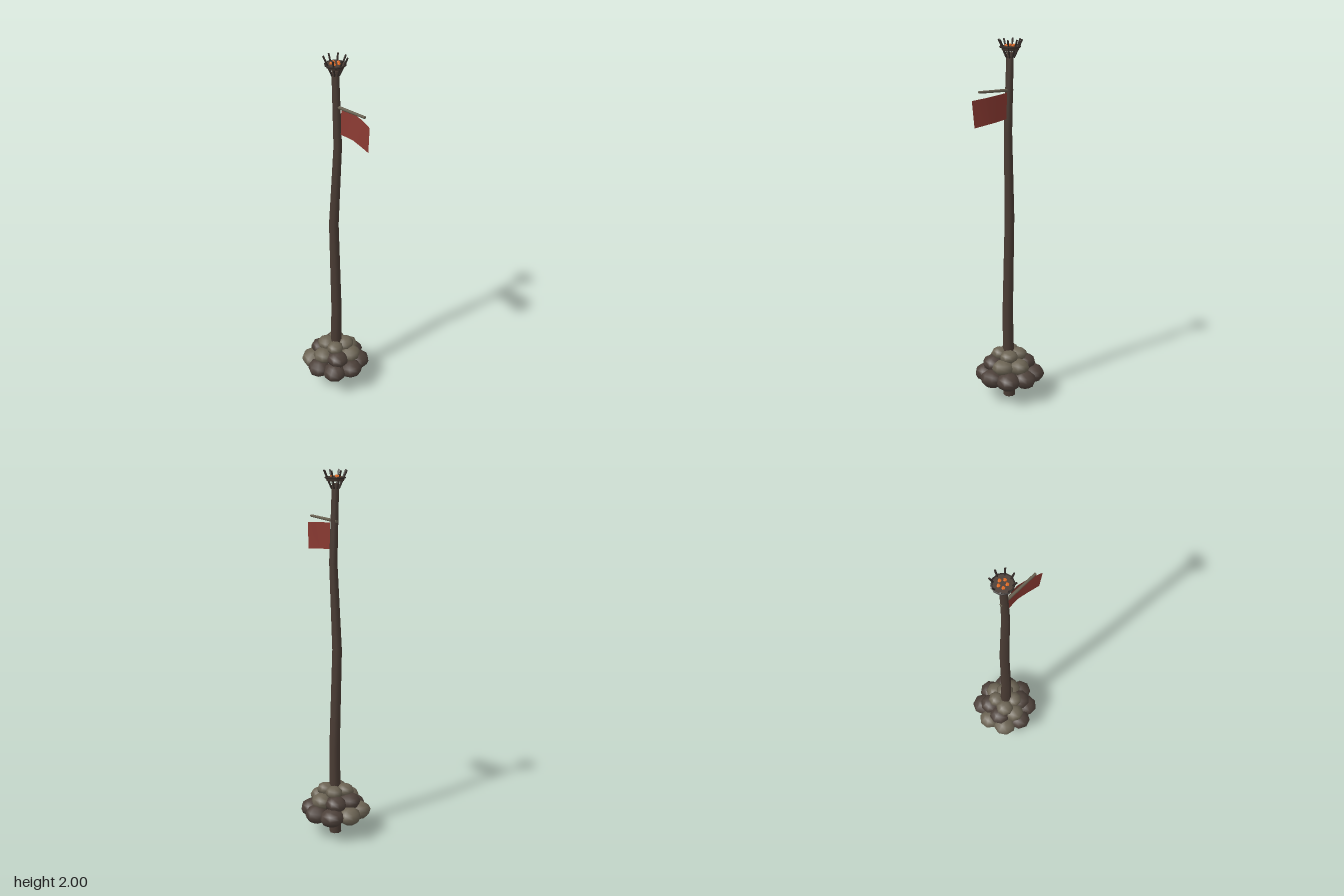
import * as THREE from 'three';

const CX = -0.032; // the pole's foot and brazier share this axis
const v = (x, y, z) => new THREE.Vector3(x, y, z);

export function createModel() {
  const model = new THREE.Group();
  const mat = (name, color, side = THREE.FrontSide) => {
    const m = new THREE.MeshStandardMaterial({ color, side });
    m.name = name;
    return m;
  };
  const wood = mat('dark wood', 0x4a3c34);
  const stoneDark = mat('dark stone', 0x4c4039);
  const stoneLight = mat('light stone', 0x6b6353);
  const iron = mat('iron', 0x352d29);
  const cloth = mat('red cloth', 0x8a3a32, THREE.DoubleSide);
  const ember = mat('ember orange', 0xe06c26);

  const add = (name, geometry, material, parent = model) => {
    const mesh = new THREE.Mesh(geometry, material);
    mesh.name = name;
    parent.add(mesh);
    return mesh;
  };
  const group = (name) => {
    const g = new THREE.Group();
    g.name = name;
    model.add(g);
    return g;
  };
  // Straight rod between two points
  const rod = (name, a, b, r0, r1, sides, material, parent) => {
    const d = b.clone().sub(a);
    const mesh = add(name, new THREE.CylinderGeometry(r1, r0, d.length(), sides), material, parent);
    mesh.position.copy(a).add(b).multiplyScalar(0.5);
    mesh.quaternion.setFromUnitVectors(v(0, 1, 0), d.normalize());
    return mesh;
  };

  // Crooked pole: a cylinder whose rows follow [x, y, z, radius]
  const rows = [
    [-0.032, 0, 0, 0.033],
    [-0.021, 0.5, 0.002, 0.029],
    [-0.037, 1.05, 0.006, 0.026],
    [-0.016, 1.52, -0.004, 0.022],
    [-0.032, 1.93, -0.002, 0.019],
  ];
  const poleGeo = new THREE.CylinderGeometry(1, 1, 1, 8, rows.length - 1);
  const p = poleGeo.attributes.position;
  for (let i = 0; i < p.count; i++) {
    const [x, y, z, r] = rows[Math.round((p.getY(i) + 0.5) * (rows.length - 1))];
    p.setXYZ(i, x + p.getX(i) * r, y, z + p.getZ(i) * r);
  }
  poleGeo.computeVertexNormals();
  add('pole', poleGeo, wood);

  // Stone cairn: three rings; in tones, L is light and D is dark
  const cairn = group('cairn');
  const rings = [
    { y: 0.136, radius: 0.128, size: 0.066, height: 0.05, start: 0, tones: 'DDDDLLDD' },
    { y: 0.2, radius: 0.088, size: 0.06, height: 0.044, start: 25, tones: 'LLDDLD' },
    { y: 0.252, radius: 0.052, size: 0.05, height: 0.036, start: 45, tones: 'LLLL' },
  ];
  // Outer tones run anticlockwise from above, starting at +x
  rings[0].tones = 'DDDDLLDD';
  rings[1].tones = 'LLDDLD';
  const rock = new THREE.SphereGeometry(1, 8, 6);
  rings.forEach(({ y, radius, size, height, start, tones }, k) => {
    [...tones].forEach((tone, i) => {
      const a = THREE.MathUtils.degToRad(start + (i * 360) / tones.length);
      const mesh = add('stone', rock, tone === 'L' ? stoneLight : stoneDark, cairn);
      const s = size * (1 + 0.05 * Math.sin(i * 2.7 + k));
      mesh.position.set(CX + Math.cos(a) * radius, y, -Math.sin(a) * radius);
      mesh.scale.set(s, height, s);
      mesh.rotation.set(0.12 * Math.sin(i * 3.1), i * 1.3 + k, 0.12 * Math.cos(i * 1.9));
    });
  });

  // Crossbar that carries the banner
  rod('crossbar', v(-0.047, 1.737, -0.004), v(0.182, 1.747, -0.004), 0.009, 0.007, 6, stoneLight);

  // Banner: a cloth strip with a gentle fold
  const top = [v(0, 1.728, -0.014), v(0.082, 1.724, -0.028), v(0.15, 1.716, -0.018), v(0.223, 1.707, 0.003)];
  const low = [v(0, 1.59, -0.01), v(0.078, 1.583, -0.02), v(0.144, 1.575, -0.012), v(0.211, 1.566, -0.002)];
  const flag = new THREE.PlaneGeometry(1, 1, 3, 1);
  [...top, ...low].forEach((q, i) => flag.attributes.position.setXYZ(i, q.x, q.y, q.z));
  flag.computeVertexNormals();
  add('banner', flag, cloth);

  // Fire basket: dish, rim, splayed bars
  const basket = group('fireBasket');
  basket.position.set(CX, 0, -0.003);
  add('dish', new THREE.CylinderGeometry(0.052, 0.044, 0.02, 10), wood, basket).position.y = 1.953;
  const rim = add('rim', new THREE.TorusGeometry(0.052, 0.005, 5, 10), iron, basket);
  rim.rotation.x = Math.PI / 2;
  rim.position.y = 1.96;
  for (let i = 0; i < 8; i++) {
    const a = THREE.MathUtils.degToRad(-9 + i * 45);
    const at = (r, y) => v(Math.cos(a) * r, y, -Math.sin(a) * r);
    rod('basketBar', at(0.02, 1.905), at(0.062, 1.998), 0.005, 0.005, 5, iron, basket);
  }

  // Glowing embers
  for (let i = 0; i < 5; i++) {
    const a = THREE.MathUtils.degToRad(18 + i * 72);
    const geo = new THREE.DodecahedronGeometry(0.0095);
    add('ember', geo, ember, basket).position.set(Math.cos(a) * 0.021, 1.965, -Math.sin(a) * 0.021);
  }
  return model;
}
